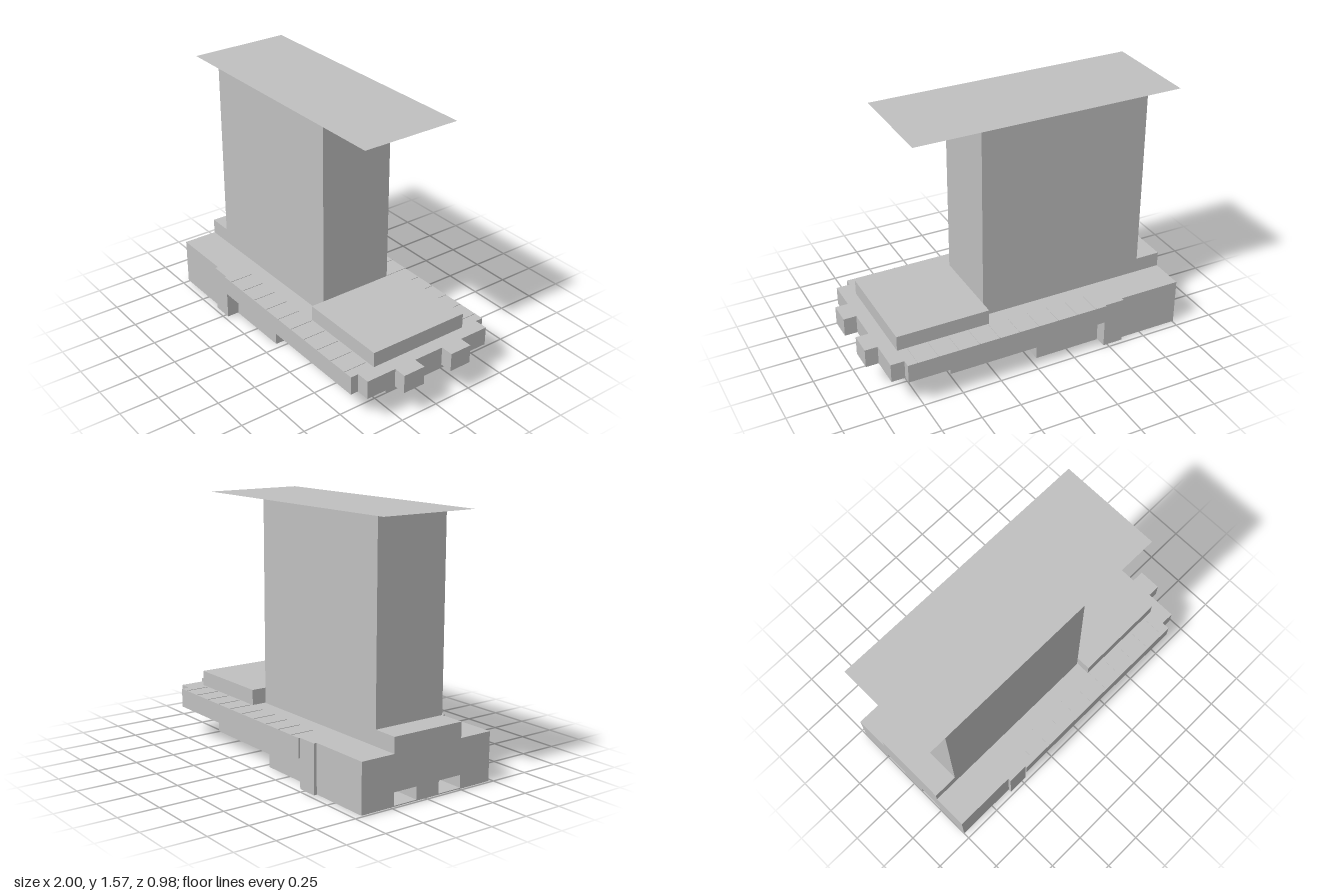
import * as THREE from 'three';

export function createModel() {
  const model = new THREE.Group();
  model.name = 'model';
  const grey = new THREE.MeshStandardMaterial({ color: 0xc0c0c0 });
  grey.name = 'plain grey';
  const greySheet = new THREE.MeshStandardMaterial({ color: 0xc0c0c0, side: THREE.DoubleSide });
  greySheet.name = 'plain grey sheet';

  // Box given by its extents along each axis
  function block(name, x0, x1, y0, y1, z0, z1) {
    const mesh = new THREE.Mesh(new THREE.BoxGeometry(x1 - x0, y1 - y0, z1 - z0), grey);
    mesh.position.set((x0 + x1) / 2, (y0 + y1) / 2, (z0 + z1) / 2);
    mesh.name = name;
    model.add(mesh);
  }
  // The same box on both sides of the centre line
  function pair(name, x0, x1, y0, y1, z0, z1) {
    block(name + 'Left', x0, x1, y0, y1, z0, z1);
    block(name + 'Right', x0, x1, y0, y1, -z1, -z0);
  }
  function rect(path, x0, x1, y0, y1) {
    path.moveTo(x0, y0);
    path.lineTo(x1, y0);
    path.lineTo(x1, y1);
    path.lineTo(x0, y1);
    path.closePath();
    return path;
  }

  // End section of the base with two small tunnels
  const section = rect(new THREE.Shape(), -0.46, 0.46, 0.008, 0.305);
  section.holes.push(rect(new THREE.Path(), -0.24, -0.08, 0.014, 0.09));
  section.holes.push(rect(new THREE.Path(), 0.08, 0.24, 0.014, 0.09));
  const endGeometry = new THREE.ExtrudeGeometry(section, { depth: 0.4, bevelEnabled: false });
  endGeometry.rotateY(Math.PI / 2);
  const baseEnd = new THREE.Mesh(endGeometry, grey);
  baseEnd.position.x = -1;
  baseEnd.name = 'baseEnd';
  model.add(baseEnd);

  // Base collar and stepped central keel
  block('baseCollar', -0.6, -0.47, 0.006, 0.305, -0.48, 0.48);
  block('keel', -0.47, 0.69, 0.008, 0.19, -0.24, 0.24);
  block('keelTip', 0.69, 0.835, 0.085, 0.19, -0.24, 0.24);

  // Stepped side runners under the slab
  pair('lowRunner', -0.47, -0.04, 0, 0.19, 0.24, 0.4);
  pair('highRunner', -0.04, 0.535, 0.08, 0.19, 0.24, 0.4);

  // Overhanging slab, its end lip and prongs
  block('slab', -0.47, 0.835, 0.187, 0.305, -0.49, 0.49);
  block('slabLip', 0.835, 0.92, 0.187, 0.305, -0.44, 0.44);
  pair('prong', 0.92, 1, 0.187, 0.305, 0.1, 0.245);

  // Fine ribs across the slab margins
  for (let i = 0; i < 10; i++) {
    const x = -0.4 + i * 0.13;
    pair('rib' + i, x, x + 0.005, 0.305, 0.308, 0.34, 0.488);
  }

  // Raised decks and tall column
  block('endDeck', -1, -0.84, 0.305, 0.4, -0.24, 0.24);
  block('mainDeck', 0.245, 0.835, 0.305, 0.4, -0.33, 0.33);
  block('column', -0.84, 0.24, 0.305, 1.57, -0.24, 0.24);

  // Thin roof sheet
  const roof = new THREE.Mesh(new THREE.PlaneGeometry(1.69, 0.635).rotateX(-Math.PI / 2), greySheet);
  roof.position.set(-0.155, 1.573, -0.017);
  roof.name = 'roofSheet';
  model.add(roof);

  return model;
}
